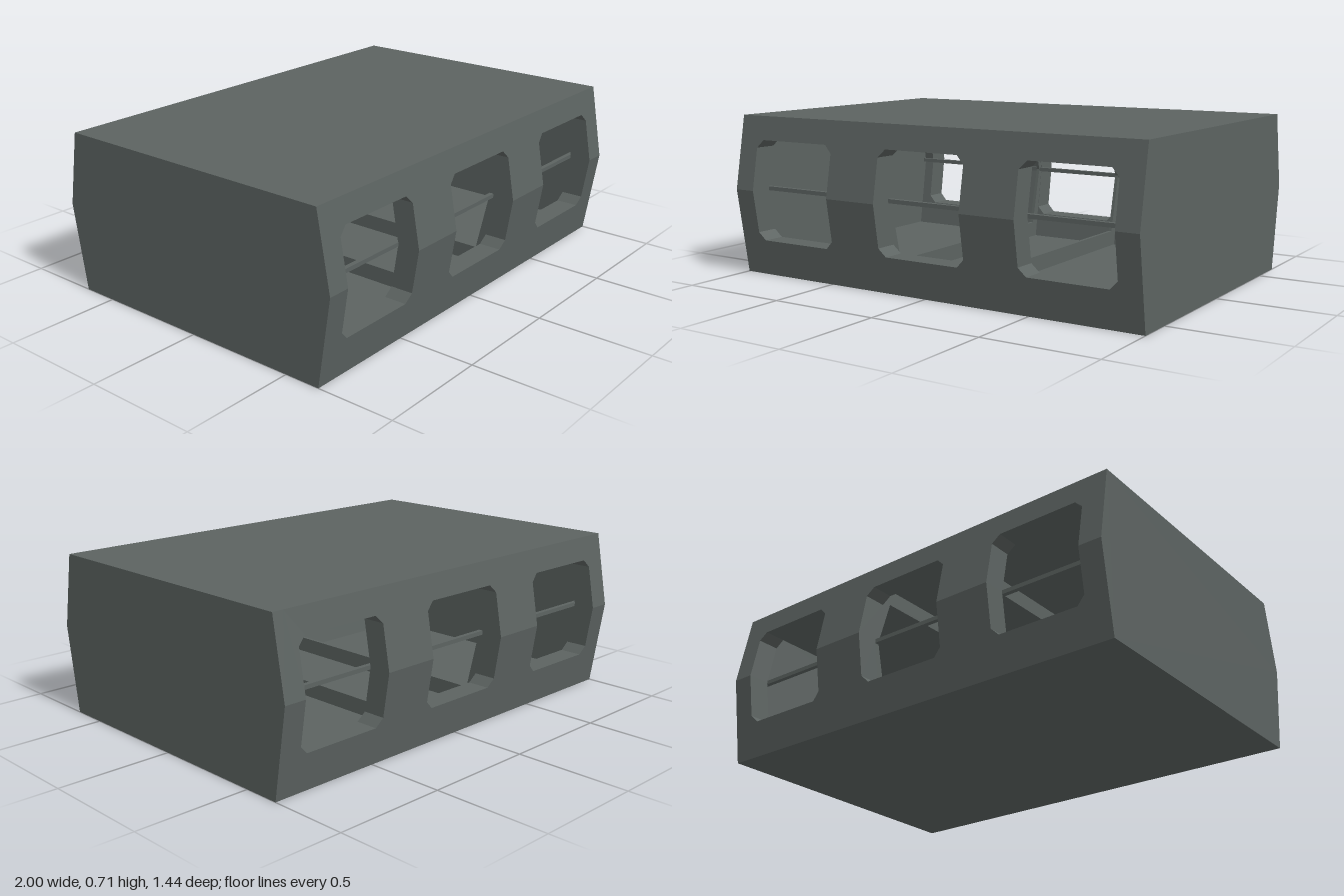
import * as THREE from 'three';

const HEIGHT = 0.715, MID = 0.385;   // overall height, height of the bulge line
const EDGE = 0.66, BULGE = 0.72;     // half depth at roof/floor and at the bulge
const WALL = 0.1, PLATE = 0.05;      // side wall and end plate thickness
const INNER = 1 - PLATE;
const WINDOWS = [-0.685, 0, 0.685];
const HALF_W = 0.215, CUT = 0.035;   // window half width and corner chamfer

export function createModel() {
  const group = new THREE.Group();
  const grey = new THREE.MeshStandardMaterial({ color: 0x5c6361 });
  grey.name = 'slate grey';

  const add = (name, geometry, x = 0, y = 0, z = 0) => {
    const mesh = new THREE.Mesh(geometry, grey);
    mesh.name = name;
    mesh.position.set(x, y, z);
    group.add(mesh);
    return mesh;
  };

  // Six-sided cross-section in (z, y), shrunk by an inset
  const section = (inset) => [
    [-EDGE + inset, inset], [EDGE - inset, inset], [BULGE - inset, MID],
    [EDGE - inset, HEIGHT - inset], [-EDGE + inset, HEIGHT - inset], [-BULGE + inset, MID],
  ].map(([z, y]) => new THREE.Vector2(z, y));

  // Slice of the cross-section, extruded along x and centred on its middle
  const slice = (shape, thickness) => {
    const geometry = new THREE.ExtrudeGeometry(shape, { depth: thickness, bevelEnabled: false });
    geometry.translate(0, 0, -thickness / 2);
    geometry.rotateY(-Math.PI / 2);
    return geometry;
  };

  // Half of a side wall: notched by the windows, then sheared to its slope
  const wallHalf = (y0, sill) => {
    const s = Math.sign(sill - y0);
    const points = [[-INNER, y0], [-INNER, MID]];
    for (const x of WINDOWS) {
      points.push(
        [x - HALF_W, MID], [x - HALF_W, sill + s * CUT], [x - HALF_W + CUT, sill],
        [x + HALF_W - CUT, sill], [x + HALF_W, sill + s * CUT], [x + HALF_W, MID]);
    }
    points.push([INNER, MID], [INNER, y0]);
    const shape = new THREE.Shape(points.map(([x, y]) => new THREE.Vector2(x, y)));
    const geometry = new THREE.ExtrudeGeometry(shape, { depth: WALL, bevelEnabled: false });
    const p = geometry.attributes.position;
    for (let i = 0; i < p.count; i++) {
      const t = (p.getY(i) - y0) / (MID - y0);
      p.setZ(i, p.getZ(i) - WALL + EDGE + t * (BULGE - EDGE));
    }
    geometry.computeVertexNormals();
    return geometry;
  };

  // Front and back walls with a rail across the window openings
  const lower = wallHalf(0, 0.16);
  const upper = wallHalf(HEIGHT, 0.61);
  const rail = new THREE.BoxGeometry(2 * INNER, 0.018, 0.02);
  for (const [side, turn, sign] of [['front', 0, 1], ['back', Math.PI, -1]]) {
    add(side + 'WallLower', lower).rotation.y = turn;
    add(side + 'WallUpper', upper).rotation.y = turn;
    add(side + 'WindowRail', rail, 0, MID, sign * (BULGE - WALL - 0.01));
  }

  // Floor and roof
  const slab = new THREE.BoxGeometry(2 * INNER, PLATE, 2 * (EDGE - WALL) + 0.01);
  add('floor', slab, 0, PLATE / 2);
  add('roof', slab, 0, HEIGHT - PLATE / 2);

  // End plates and slim inner ribs beside the middle window
  const end = slice(new THREE.Shape(section(0)), PLATE);
  const ribShape = new THREE.Shape(section(0.05));
  ribShape.holes.push(new THREE.Path(section(0.12)));
  const rib = slice(ribShape, 0.015);
  for (const sign of [-1, 1]) {
    add(sign > 0 ? 'leftEnd' : 'rightEnd', end, sign * (1 - PLATE / 2));
    add(sign > 0 ? 'leftRib' : 'rightRib', rib, sign * 0.224);
  }

  return group;
}
